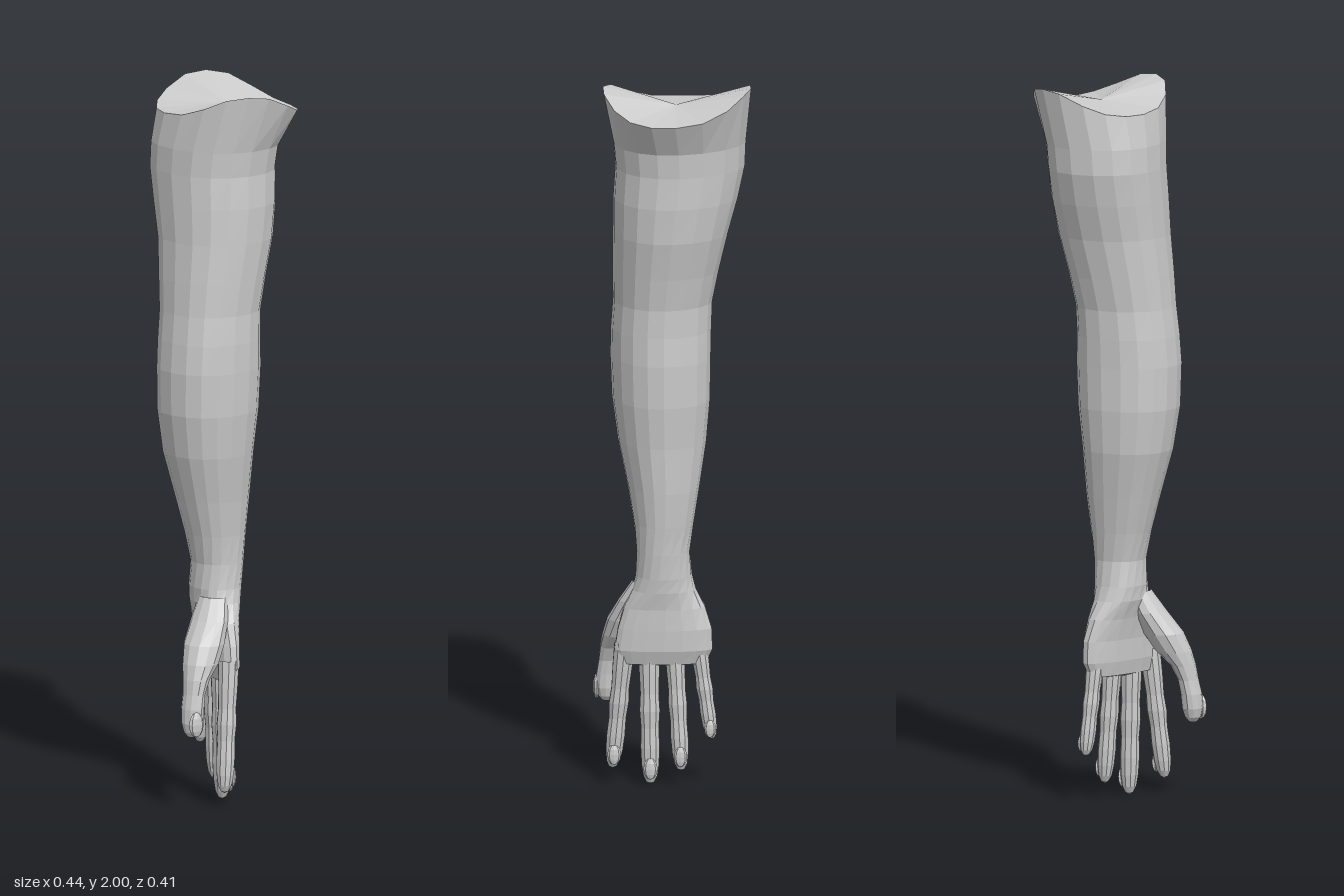
import * as THREE from 'three';

const skin = new THREE.MeshStandardMaterial({ color: 0xcccccc, flatShading: true });

// Skin over horizontal cross-sections, listed from top to bottom.
// Section: [y, centreX, centreZ, radiusX, radiusZ, turn]; lift(x, z) bends the first one.
function loft(name, sections, { sides = 18, power = 2.2, top, bottom, lift } = {}) {
  const pos = [], idx = [];
  const squash = v => Math.sign(v) * Math.abs(v) ** (2 / power);
  sections.forEach(([y, cx, cz, rx, rz, turn = 0], i) => {
    const c = Math.cos(turn), s = Math.sin(turn);
    for (let j = 0; j < sides; j++) {
      const a = (j / sides) * Math.PI * 2;
      const lx = rx * squash(Math.cos(a)), lz = rz * squash(Math.sin(a));
      const dx = lx * c - lz * s, dz = lx * s + lz * c;
      pos.push(cx + dx, y + (lift && i === 0 ? lift(dx, dz) : 0), cz + dz);
    }
  });
  for (let i = 0; i < sections.length - 1; i++) {
    for (let j = 0; j < sides; j++) {
      const k = (j + 1) % sides, u = i * sides, d = u + sides;
      idx.push(u + j, u + k, d + k, u + j, d + k, d + j);
    }
  }
  // Fan caps
  if (top) {
    const n = pos.push(...top) / 3 - 1;
    for (let j = 0; j < sides; j++) idx.push(n, (j + 1) % sides, j);
  }
  if (bottom) {
    const n = pos.push(...bottom) / 3 - 1, u = (sections.length - 1) * sides;
    for (let j = 0; j < sides; j++) idx.push(n, u + j, u + (j + 1) % sides);
  }
  const geo = new THREE.BufferGeometry();
  geo.setAttribute('position', new THREE.Float32BufferAttribute(pos, 3));
  geo.setIndex(idx);
  geo.computeVertexNormals();
  const mesh = new THREE.Mesh(geo, skin);
  mesh.name = name;
  return mesh;
}

// Small domed nail, facing the given turn about y
function nail(name, x, y, z, r, turn) {
  const mesh = new THREE.Mesh(new THREE.SphereGeometry(1, 8, 6), skin);
  mesh.scale.set(r * 0.3, r * 1.1, r * 0.7);
  mesh.position.set(x + Math.cos(turn) * r * 0.85, y, z + Math.sin(turn) * r * 0.85);
  mesh.rotation.y = -turn;
  mesh.name = name;
  return mesh;
}

// Finger from knuckle to tip, with slight swelling at the joints
function finger(name, root, tip, r) {
  const profile = [[0, 1.1], [0.2, 1.05], [0.36, 0.95], [0.48, 1.05], [0.6, 0.92],
    [0.74, 0.98], [0.86, 0.9], [0.94, 0.72], [0.985, 0.4]];
  const a = new THREE.Vector3(...root), b = new THREE.Vector3(...tip);
  const rings = profile.map(([t, k]) => {
    const p = a.clone().lerp(b, t);
    return [p.y, p.x, p.z, r * k, r * k, 0.4];
  });
  const group = new THREE.Group();
  group.name = name;
  const n = a.clone().lerp(b, 0.88);
  group.add(loft(name + 'Flesh', rings, { sides: 10, power: 2, bottom: tip }),
    nail(name + 'Nail', n.x, n.y, n.z, r, 0.4));
  return group;
}

export function createModel() {
  const arm = new THREE.Group();
  arm.name = 'arm';

  // Upper arm with a saddle-shaped cut at the shoulder
  const elbow = [1.38, -0.03, 0.01, 0.137, 0.134];
  const saddle = (x, z) => Math.min(0.07, 0.07 * Math.abs((0.53 * x - 0.85 * z) / 0.2) ** 3);
  arm.add(loft('upperArm', [
    [1.93, 0.045, 0, 0.175, 0.208],
    [1.84, 0.017, -0.02, 0.16, 0.185],
    [1.77, 0.012, -0.024, 0.158, 0.18],
    [1.68, 0.008, -0.012, 0.157, 0.172],
    [1.58, 0, 0, 0.152, 0.157],
    [1.47, -0.018, 0.006, 0.143, 0.144],
    elbow,
  ], { top: [0.04, 1.95, 0], lift: saddle }));

  // Forearm tapering to the wrist
  const wrist = [0.6, -0.014, 0.013, 0.068, 0.078, 0.2];
  arm.add(loft('forearm', [
    elbow,
    [1.3, -0.036, 0.012, 0.14, 0.135],
    [1.22, -0.038, 0.013, 0.144, 0.134],
    [1.1, -0.039, 0.011, 0.14, 0.131],
    [0.98, -0.036, 0.009, 0.124, 0.119],
    [0.85, -0.022, 0.011, 0.102, 0.096],
    [0.75, -0.014, 0.014, 0.083, 0.081],
    [0.67, -0.01, 0.017, 0.07, 0.073, 0.1],
    wrist,
  ]));

  // Palm, flattened and turned so its inner side faces -x
  arm.add(loft('palm', [
    wrist,
    [0.56, -0.015, 0.012, 0.064, 0.088, 0.3],
    [0.51, -0.012, 0.012, 0.052, 0.113, 0.38],
    [0.45, -0.008, 0.013, 0.045, 0.131, 0.4],
    [0.39, -0.01, 0.016, 0.041, 0.137, 0.4],
    [0.35, -0.014, 0.018, 0.03, 0.122, 0.4],
  ], { bottom: [-0.014, 0.34, 0.018] }));

  // Four fingers
  [
    ['indexFinger', [-0.057, 0.41, 0.112], [-0.093, 0.043, 0.133], 0.027],
    ['middleFinger', [-0.028, 0.41, 0.052], [-0.022, 0.005, 0.05], 0.028],
    ['ringFinger', [0, 0.41, -0.012], [0.02, 0.045, -0.024], 0.026],
    ['littleFinger', [0.026, 0.41, -0.072], [0.042, 0.132, -0.106], 0.023],
  ].forEach(f => arm.add(finger(...f)));

  // Thumb with the fleshy mound at its base
  const thumb = new THREE.Group();
  thumb.name = 'thumb';
  thumb.add(loft('thumbFlesh', [
    [0.58, -0.05, 0.045, 0.036, 0.045],
    [0.52, -0.08, 0.06, 0.045, 0.058],
    [0.46, -0.115, 0.075, 0.055, 0.06],
    [0.41, -0.14, 0.087, 0.05, 0.052],
    [0.37, -0.165, 0.095, 0.034, 0.042],
    [0.33, -0.178, 0.1, 0.027, 0.036],
    [0.29, -0.186, 0.103, 0.028, 0.036],
    [0.25, -0.189, 0.105, 0.028, 0.034],
    [0.225, -0.19, 0.106, 0.022, 0.026],
    [0.212, -0.19, 0.106, 0.012, 0.014],
  ], { sides: 12, power: 2, bottom: [-0.19, 0.207, 0.106] }),
  nail('thumbNail', -0.192, 0.25, 0.108, 0.032, 1.9));
  arm.add(thumb);

  return arm;
}
